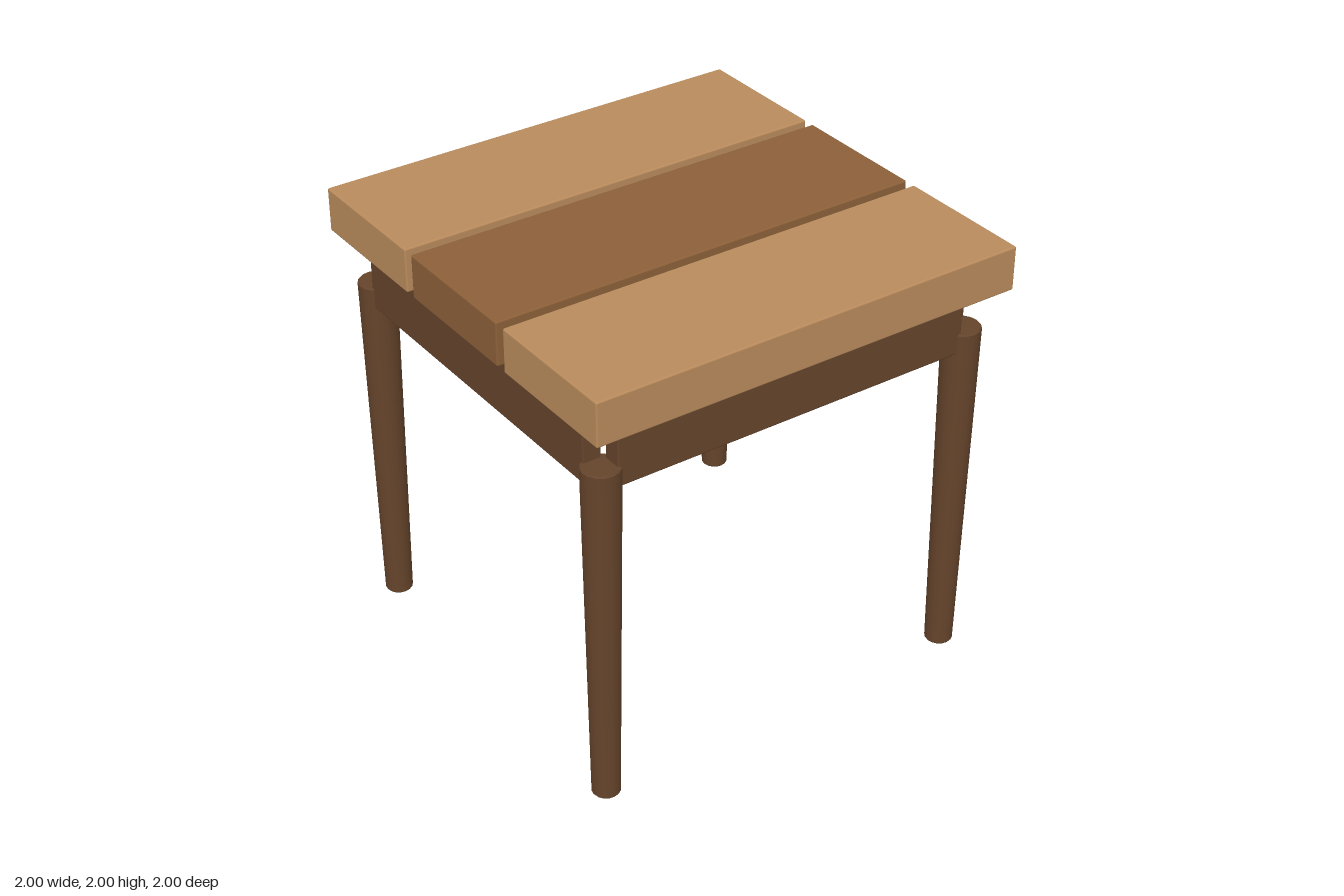
import * as THREE from 'three';
import { RoundedBoxGeometry } from 'three/addons/geometries/RoundedBoxGeometry.js';

const material = (name, color) => {
  const m = new THREE.MeshStandardMaterial({ color });
  m.name = name;
  return m;
};

export function createModel() {
  const group = new THREE.Group();
  group.name = 'stool';
  const lightWood = material('lightWood', 0xb98b5c);
  const midWood = material('midWood', 0x8c6039);
  const darkWood = material('darkWood', 0x65442b);

  const add = (name, geometry, mat, x, y, z) => {
    const mesh = new THREE.Mesh(geometry, mat);
    mesh.name = name;
    mesh.position.set(x, y, z);
    group.add(mesh);
  };
  // Board with slightly eased edges
  const board = (w, h, d) => new RoundedBoxGeometry(w, h, d, 2, 0.008);

  // Seat: three planks with narrow gaps
  const plank = board(2, 0.198, 0.635);
  add('backPlank', plank, lightWood, 0, 1.901, -0.6825);
  add('middlePlank', plank, midWood, 0, 1.901, 0);
  add('frontPlank', plank, lightWood, 0, 1.901, 0.6825);

  // Aprons: four rails under the seat, open at the corners
  const longRail = board(1.675, 0.295, 0.085);
  const sideRail = board(0.085, 0.295, 1.595);
  for (const s of [-1, 1]) {
    add(s > 0 ? 'frontApron' : 'backApron', longRail, darkWood, 0, 1.655, s * 0.85);
    add(s > 0 ? 'leftApron' : 'rightApron', sideRail, darkWood, s * 0.89, 1.655, 0);
  }

  // Legs: tapered towards the floor, with eased rims
  const profile = [[0, 0], [0.056, 0], [0.061, 0.006], [0.083, 1.594], [0.078, 1.6], [0, 1.6]];
  // Doubled rim points keep the end caps flat
  const points = profile.flatMap(([r, y], i) =>
    (i === 0 || i === profile.length - 1 ? [[r, y]] : [[r, y], [r, y]]))
    .map(([r, y], i) => new THREE.Vector2(r, y + i * 1e-6));
  const leg = new THREE.LatheGeometry(points, 16);
  for (const x of [-1, 1]) {
    for (const z of [-1, 1]) {
      const name = (z > 0 ? 'front' : 'back') + (x > 0 ? 'Left' : 'Right') + 'Leg';
      add(name, leg, darkWood, x * 0.882, 0, z * 0.843);
    }
  }
  return group;
}
